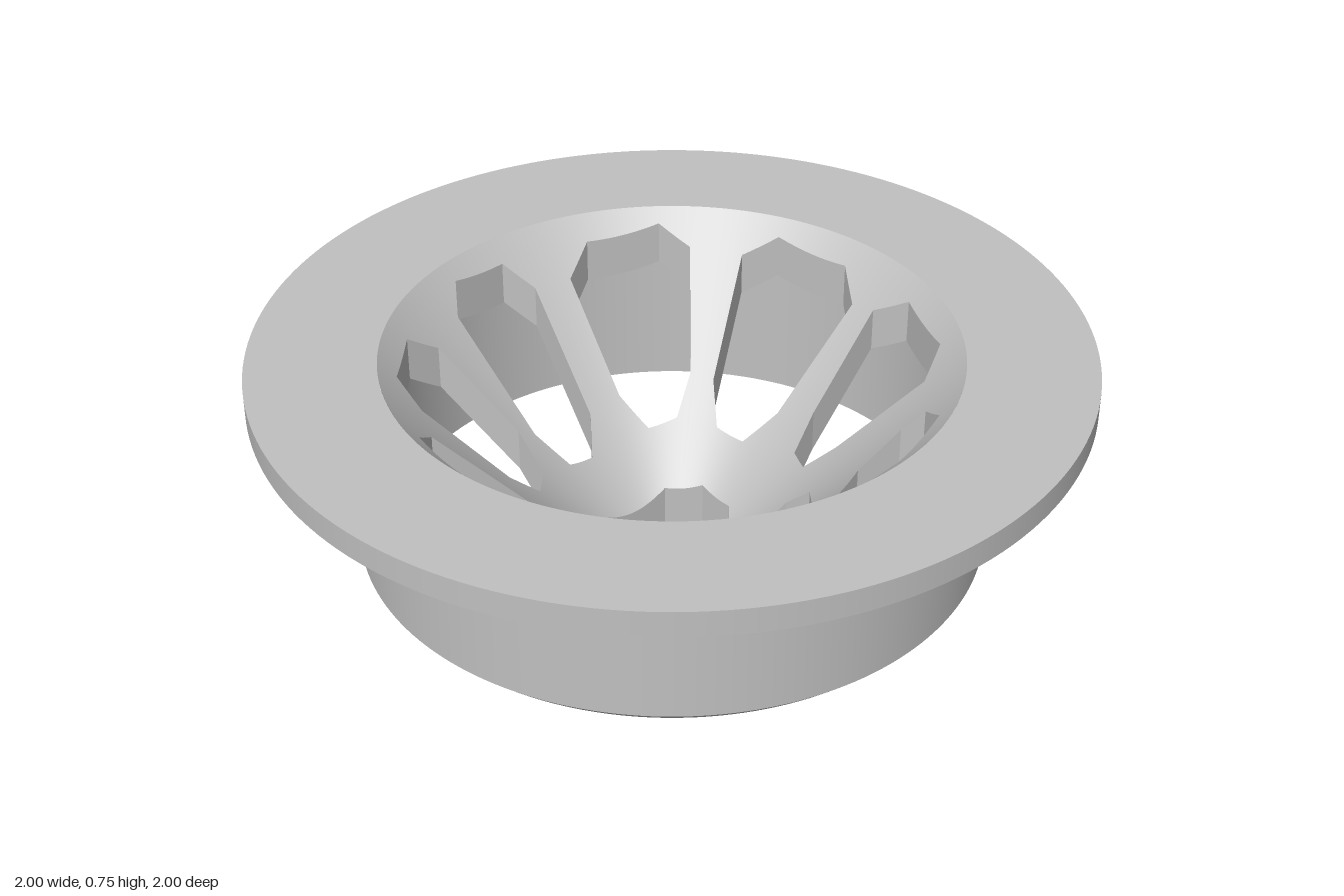
import * as THREE from 'three';
import { mergeGeometries } from 'three/addons/utils/BufferGeometryUtils.js';

const SLOPE = 1.07;      // rise of the basket cone per unit radius
const TOP = 0.012;       // height of the upper cone at the axis
const UNDER = -0.1;      // height of the lower cone at the axis
const RIM = 0.69;        // radius where basket meets the flange
const CUT = 0.065;       // length of the cut corners of each drain hole

// Tapered drain holes in plan: inner end x, z, outer end x, z, then the two half widths
const holes = [
  [-0.05, -0.18, -0.015, 0.175, 0.115, 0.14],
  [-0.11, -0.275, -0.195, -0.61, 0.1, 0.17],
  [0.12, -0.305, 0.235, -0.595, 0.08, 0.17],
  [0.415, -0.19, 0.585, -0.25, 0.14, 0.16],
  [0.215, -0.22, 0.28, 0.04, 0.085, 0.065],
  [0.34, 0.105, 0.62, 0.175, 0.085, 0.145],
  [0.185, 0.25, 0.335, 0.535, 0.095, 0.135],
  [-0.02, 0.3, -0.03, 0.64, 0.085, 0.143],
  [-0.21, 0.24, -0.425, 0.48, 0.1, 0.14],
  [-0.27, 0.075, -0.635, 0.11, 0.093, 0.127],
  [-0.25, -0.17, -0.57, -0.295, 0.095, 0.16],
];

// Eight-sided outline of one hole
function outline([x0, z0, x1, z1, w0, w1]) {
  const start = new THREE.Vector2(x0, z0);
  const along = new THREE.Vector2(x1 - x0, z1 - z0);
  const length = along.length();
  along.normalize();
  const side = new THREE.Vector2(-along.y, along.x);
  const half = [[0, w0 * 0.4], [CUT, w0], [length - CUT, w1], [length, w1 * 0.6]];
  const mirrored = half.map(([u, v]) => [u, -v]).reverse();
  return [...half, ...mirrored].map(([u, v]) =>
    start.clone().addScaledVector(along, u).addScaledVector(side, v));
}

// Collects quads with given corner normals, turning each to face its normal
function surface() {
  const pos = [], nor = [];
  const e1 = new THREE.Vector3(), e2 = new THREE.Vector3();
  return {
    quad(corners, normals) {
      e1.subVectors(corners[2], corners[0]);
      e2.subVectors(corners[3], corners[1]);
      const order = e1.cross(e2).dot(normals[0]) > 0 ? [0, 1, 2, 0, 2, 3] : [0, 2, 1, 0, 3, 2];
      for (const i of order) {
        pos.push(...corners[i].toArray());
        nor.push(...normals[i].toArray());
      }
    },
    geometry() {
      const g = new THREE.BufferGeometry();
      g.setAttribute('position', new THREE.Float32BufferAttribute(pos, 3));
      g.setAttribute('normal', new THREE.Float32BufferAttribute(nor, 3));
      return g;
    },
  };
}

// Cone shell cut into wedges, so hole edges and cone faces are both exact
function basketGeometries() {
  const edges = [], angles = [];
  for (const hole of holes) {
    const pts = outline(hole);
    pts.forEach((p, i) => {
      edges.push([p, pts[(i + 1) % pts.length]]);
      angles.push(p.angle());
    });
  }
  for (let i = 0; i < 180; i++) angles.push((i * Math.PI) / 90);
  angles.sort((a, b) => a - b);
  const rays = angles.filter((a, i) => i === 0 || a - angles[i - 1] > 1e-6);
  rays.push(rays[0] + Math.PI * 2);

  const dir = (t) => new THREE.Vector2(Math.cos(t), Math.sin(t));
  // distance along a ray to the line of an edge
  const reach = ([a, b], d) => {
    const e = b.clone().sub(a);
    return a.cross(e) / d.cross(e);
  };
  const at = (d, r, base) => new THREE.Vector3(d.x * r, SLOPE * r + base, d.y * r);
  const upNormal = (d) => new THREE.Vector3(-SLOPE * d.x, 1, -SLOPE * d.y).normalize();
  const cone = surface(), walls = surface();

  for (let i = 0; i + 1 < rays.length; i++) {
    const d0 = dir(rays[i]), d1 = dir(rays[i + 1]), dm = dir((rays[i] + rays[i + 1]) / 2);
    const hits = edges
      .filter(([a, b]) => dm.cross(a) * dm.cross(b) < 0 && reach([a, b], dm) > 0)
      .sort((p, q) => reach(p, dm) - reach(q, dm))
      .map((e) => [reach(e, d0), reach(e, d1)]);

    // walls of the holes
    hits.forEach(([r0, r1], k) => {
      const a = at(d0, r0, TOP), b = at(d1, r1, TOP);
      const n = new THREE.Vector3(b.z - a.z, 0, a.x - b.x).normalize();
      const outward = n.x * dm.x + n.z * dm.y > 0;
      if (outward !== (k % 2 === 1)) n.negate();
      walls.quad([a, b, at(d1, r1, UNDER), at(d0, r0, UNDER)], [n, n, n, n]);
    });

    // upper and lower cone faces between the holes
    hits.push([RIM, RIM]);
    const n0 = upNormal(d0), n1 = upNormal(d1);
    for (let k = 0; k + 1 < hits.length; k += 2) {
      const [a0, a1] = hits[k], [b0, b1] = hits[k + 1];
      for (const [base, s] of [[TOP, 1], [UNDER, -1]]) {
        const m0 = n0.clone().multiplyScalar(s), m1 = n1.clone().multiplyScalar(s);
        cone.quad([at(d0, a0, base), at(d0, b0, base), at(d1, b1, base), at(d1, a1, base)], [m0, m0, m1, m1]);
      }
    }
  }
  return [cone.geometry(), walls.geometry()];
}

// Lathe with a sharp edge at every profile point
function sharpLathe(profile) {
  const bands = [];
  for (let i = 0; i + 1 < profile.length; i++) {
    const pair = [profile[i], profile[i + 1]].map(([r, y]) => new THREE.Vector2(r, y));
    bands.push(new THREE.LatheGeometry(pair, 180));
  }
  return mergeGeometries(bands);
}

export function createModel() {
  const group = new THREE.Group();
  group.name = 'drainStrainer';
  const grey = new THREE.MeshStandardMaterial({ color: 0xc0c0c0 });
  grey.name = 'grey';
  const add = (name, geometry) => {
    const mesh = new THREE.Mesh(geometry, grey);
    mesh.name = name;
    group.add(mesh);
  };

  // Collar: inner wall, bottom edge, chamfer, outer wall
  add('collar', sharpLathe([[RIM, SLOPE * RIM + UNDER], [RIM, 0.245], [0.738, 0.245], [0.763, 0.27], [0.763, 0.685]]));
  // Flange: underside, edge, top
  add('flange', sharpLathe([[0.763, 0.685], [1, 0.685], [1, 0.75], [RIM, 0.75]]));

  // Basket with drain holes
  const [cone, walls] = basketGeometries();
  add('basketCone', cone);
  add('drainHoleWalls', walls);
  return group;
}
